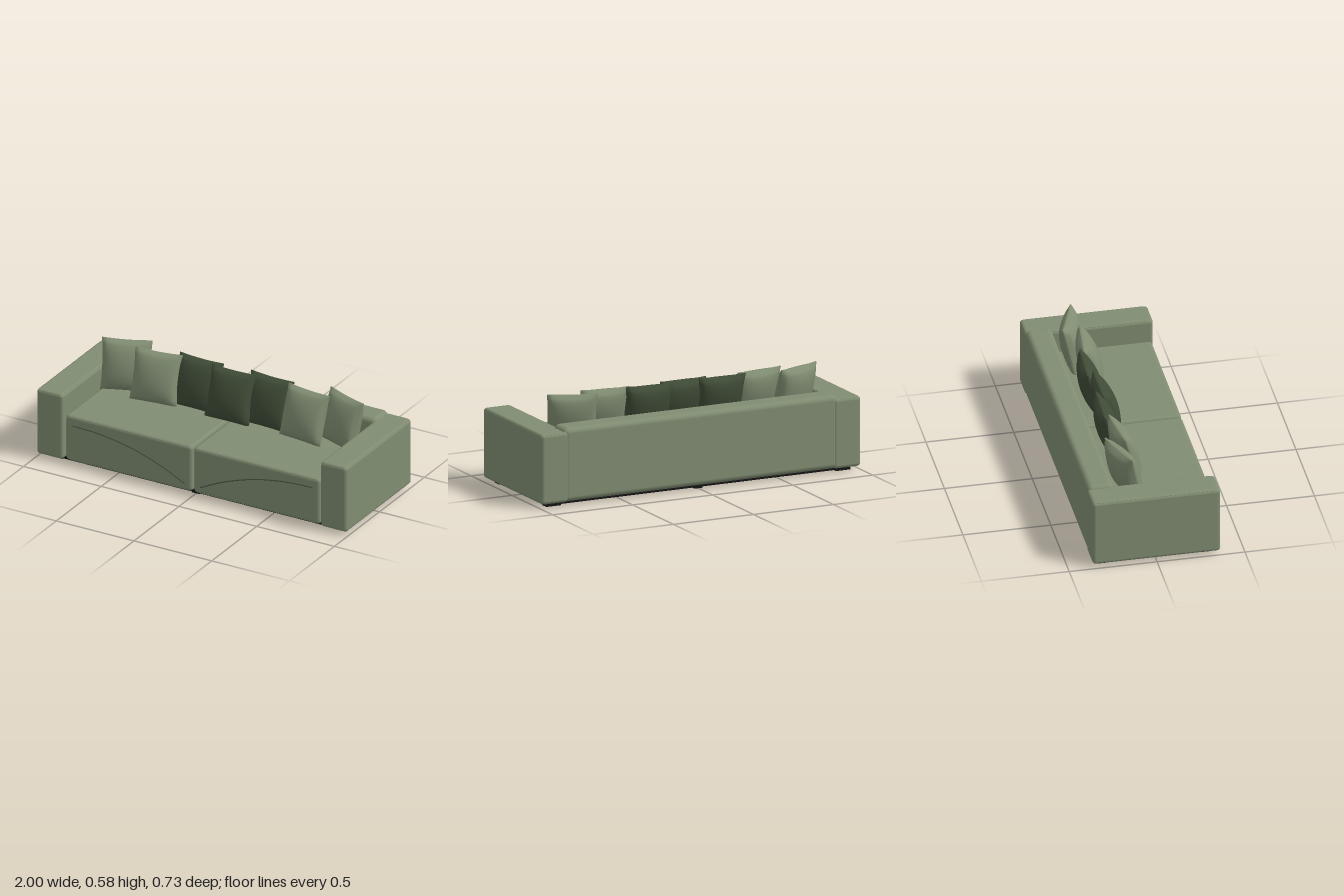
import * as THREE from 'three';
import { RoundedBoxGeometry } from 'three/addons/geometries/RoundedBoxGeometry.js';

const mat = (name, color) => {
  const m = new THREE.MeshStandardMaterial({ color });
  m.name = name;
  return m;
};

export function createModel() {
  const fabric = mat('sage fabric', 0x808d72);
  const darkFabric = mat('dark green fabric', 0x3f4c37);
  const seamMat = mat('seam green', 0x4c5742);
  const black = mat('black base', 0x161616);
  const sofa = new THREE.Group();
  sofa.name = 'sofa';

  const add = (name, geometry, material) => {
    const mesh = new THREE.Mesh(geometry, material);
    mesh.name = name;
    sofa.add(mesh);
    return mesh;
  };

  // Rounded block given by its min and max on each axis
  const block = (name, [x0, x1], [y0, y1], [z0, z1], r, material = fabric) => {
    const g = new RoundedBoxGeometry(x1 - x0, y1 - y0, z1 - z0, 4, r);
    return add(name, g, material).position.set((x0 + x1) / 2, (y0 + y1) / 2, (z0 + z1) / 2);
  };

  // Closed piping cord around a rounded rectangle; place(a, b) maps it into space
  const piping = (name, [a0, a1], [b0, b1], r, place) => {
    const pts = [];
    [[a1 - r, b1 - r], [a0 + r, b1 - r], [a0 + r, b0 + r], [a1 - r, b0 + r]].forEach(([a, b], i) => {
      for (let k = 0; k <= 3; k++) {
        const t = (i + k / 3) * Math.PI / 2;
        pts.push(place(a + r * Math.cos(t), b + r * Math.sin(t)));
      }
    });
    const curve = new THREE.CurvePath();
    pts.forEach((p, i) => curve.add(new THREE.LineCurve3(p, pts[(i + 1) % pts.length])));
    add(name, new THREE.TubeGeometry(curve, 160, 0.003, 6, true), fabric);
  };

  // Backrest
  block('backrest', [-0.855, 0.855], [0.022, 0.445], [-0.364, -0.213], 0.032);

  for (const s of [-1, 1]) {
    const side = s > 0 ? 'left' : 'right';
    const span = (a, b) => (s > 0 ? [a, b] : [-b, -a]);

    // Arm with piping on its front and top panels
    block(side + 'Arm', span(0.828, 0.998), [0.022, 0.424], [-0.365, 0.363], 0.02);
    piping(side + 'ArmFrontPiping', span(0.836, 0.99), [0.03, 0.416], 0.02,
      (a, b) => new THREE.Vector3(a, b, 0.357));
    piping(side + 'ArmTopPiping', span(0.836, 0.99), [-0.357, 0.355], 0.02,
      (a, b) => new THREE.Vector3(a, 0.418, b));

    // Seat with piping round the top
    block(side + 'Seat', span(0.005, 0.818), [0.022, 0.302], [-0.215, 0.35], 0.02);
    piping(side + 'SeatTopPiping', span(0.011, 0.812), [-0.207, 0.344], 0.02,
      (a, b) => new THREE.Vector3(a, 0.293, b));
    piping(side + 'SeatFrontPiping', span(0.011, 0.812), [0.03, 0.294], 0.02,
      (a, b) => new THREE.Vector3(a, b, 0.344));

    // Curved decorative seam across the seat front
    const seam = [[0.05, 0.065], [0.2, 0.137], [0.4, 0.203], [0.6, 0.237], [0.77, 0.245]]
      .map(([x, y]) => new THREE.Vector3(s * x, y, 0.349));
    add(side + 'FrontSeam',
      new THREE.TubeGeometry(new THREE.CatmullRomCurve3(seam), 40, 0.004, 6), seamMat);
  }

  // Recessed plinth and feet
  block('plinth', [-0.95, 0.95], [0.005, 0.03], [-0.32, 0.313], 0.004, black);
  for (const x of [-0.905, 0, 0.905]) {
    for (const z of [-0.297, 0.282]) {
      const foot = add('foot', new THREE.BoxGeometry(x ? 0.09 : 0.05, 0.012, 0.056), black);
      foot.position.set(x, 0.006, z);
    }
  }

  // Plump square pillow: thick in the middle, pinched edges, pointed corners
  const pillowGeometry = (w, h, depth) => {
    const g = new THREE.BoxGeometry(2, 2, 2, 20, 20, 1);
    const p = g.attributes.position;
    for (let i = 0; i < p.count; i++) {
      const u = p.getX(i), v = p.getY(i);
      const puff = Math.pow((1 - u * u) * (1 - v * v), 0.45);
      p.setXYZ(i,
        u * w / 2 * (1 - 0.05 * (1 - v * v)),
        v * h / 2 * (1 - 0.04 * (1 - u * u)),
        p.getZ(i) * (0.004 + depth / 2 * puff));
    }
    g.computeVertexNormals();
    return g;
  };

  // [x, z, yaw, lean, material]
  const pillow = pillowGeometry(0.285, 0.3, 0.12);
  [
    [-0.7, -0.125, 0.36, -0.24, fabric],
    [-0.48, -0.075, 0.12, -0.3, fabric],
    [-0.235, -0.122, -0.03, -0.26, darkFabric],
    [-0.005, -0.082, 0, -0.3, darkFabric],
    [0.22, -0.122, -0.05, -0.26, darkFabric],
    [0.475, -0.075, -0.12, -0.3, fabric],
    [0.69, -0.125, -0.36, -0.24, fabric],
  ].forEach(([x, z, yaw, lean, material], i) => {
    const m = add('pillow' + (i + 1), pillow, material);
    m.position.set(x, 0.438, z);
    m.rotation.set(lean, yaw, 0, 'YXZ');
  });

  return sofa;
}
